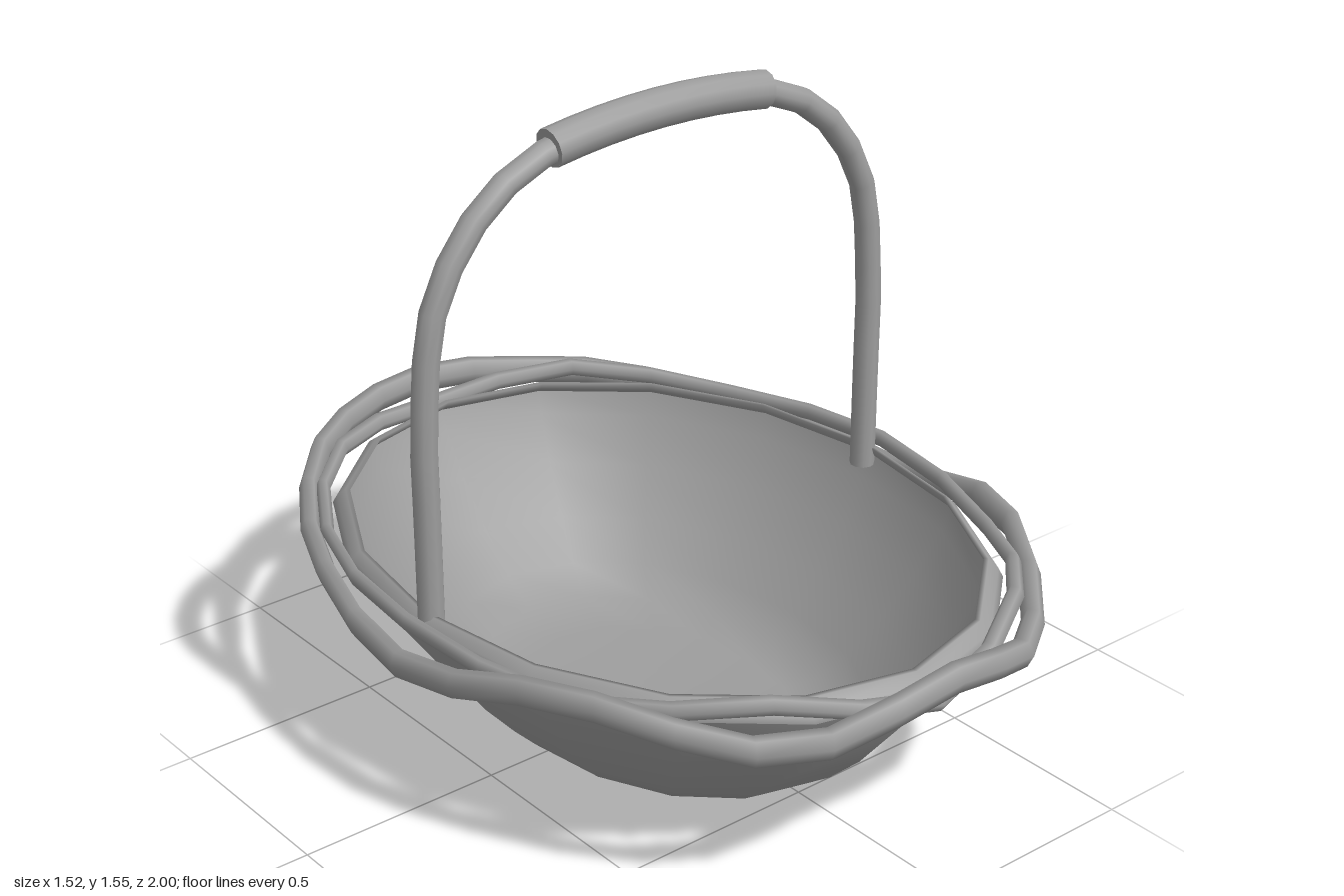
import * as THREE from 'three';

const material = new THREE.MeshStandardMaterial({ color: 0x9d9d9d, side: THREE.DoubleSide });

function add(group, geometry, name) {
  const mesh = new THREE.Mesh(geometry, material);
  mesh.name = name;
  group.add(mesh);
}

// Grid of points point(i, j) joined into a smooth skin; wrapI closes it along i
function skin(ni, nj, wrapI, point) {
  const positions = [], index = [];
  for (let i = 0; i < ni; i++) for (let j = 0; j < nj; j++) positions.push(...point(i, j));
  for (let i = 0; i < (wrapI ? ni : ni - 1); i++) {
    for (let j = 0; j < nj; j++) {
      const i2 = (i + 1) % ni, j2 = (j + 1) % nj;
      const a = i * nj + j, b = i2 * nj + j, c = i2 * nj + j2, d = i * nj + j2;
      index.push(a, b, c, a, c, d);
    }
  }
  const g = new THREE.BufferGeometry();
  g.setAttribute('position', new THREE.Float32BufferAttribute(positions, 3));
  g.setIndex(index);
  g.computeVertexNormals();
  return g;
}

// Oval bowl from cross-sections [x radius, z radius, y]
function bowl() {
  const rings = [
    [0.001, 0.001, 0], [0.29, 0.38, 0.004], [0.37, 0.515, 0.03], [0.43, 0.60, 0.09],
    [0.51, 0.695, 0.18], [0.59, 0.785, 0.29], [0.65, 0.855, 0.40], [0.672, 0.88, 0.46],
  ];
  const sides = 16;
  return skin(rings.length, sides, false, (i, j) => {
    const t = (j / sides) * Math.PI * 2;
    const [rx, rz, y] = rings[i];
    return [rx * Math.sin(t), y, rz * Math.cos(t)];
  });
}

// Flattened cane round the rim; angle 0 is the front, height(t) its wave, drop tilts it outwards
function strand(rx, rz, halfX, halfZ, halfY, segments, height, drop = 0) {
  const sides = 6;
  return skin(segments, sides, true, (i, j) => {
    const t = (i / segments) * Math.PI * 2, a = (j / sides) * Math.PI * 2;
    return [
      (rx + halfX * Math.cos(a)) * Math.sin(t),
      height(t) + halfY * Math.sin(a) - drop * Math.cos(a),
      (rz + halfZ * Math.cos(a)) * Math.cos(t),
    ];
  });
}

// Smooth closed wave through evenly spaced heights
function wave(heights) {
  const n = heights.length;
  return (t) => {
    const u = (t / (Math.PI * 2)) * n, k = Math.floor(u), f = u - k;
    const s = f * f * (3 - 2 * f);
    return heights[k % n] * (1 - s) + heights[(k + 1) % n] * s;
  };
}

export function createModel() {
  const group = new THREE.Group();
  group.name = 'basket';
  add(group, bowl(), 'bowl');

  // Woven rim: a bold outer cane, a finer one in counter-wave and a folded lip
  const outer = wave([0.525, 0.43, 0.505, 0.40, 0.435, 0.475, 0.51, 0.50, 0.45, 0.39, 0.49, 0.425]);
  const middle = wave([0.445, 0.52, 0.46, 0.485, 0.47, 0.50, 0.455, 0.49, 0.485, 0.485, 0.46, 0.515]);
  add(group, strand(0.738, 0.97, 0.022, 0.03, 0.036, 32, outer), 'outerRimStrand');
  add(group, strand(0.712, 0.922, 0.013, 0.024, 0.022, 24, middle), 'middleRimStrand');
  add(group, strand(0.673, 0.873, 0.018, 0.028, 0.012, 16, () => 0.468, 0.02), 'rimLip');

  // Arched handle, left half mirrored from the right
  const half = [[0.647, 0.44], [0.647, 0.7], [0.645, 0.95], [0.605, 1.21], [0.47, 1.395], [0.29, 1.482]];
  const arch = [
    ...half.map(([x, y]) => new THREE.Vector3(x, y, 0)),
    new THREE.Vector3(0, 1.508, 0),
    ...half.slice().reverse().map(([x, y]) => new THREE.Vector3(-x, y, 0)),
  ];
  add(group, new THREE.TubeGeometry(new THREE.CatmullRomCurve3(arch), 28, 0.031, 10), 'handle');

  // Thicker grip with closed ends
  const gripPath = new THREE.QuadraticBezierCurve3(
    new THREE.Vector3(-0.3, 1.484, 0), new THREE.Vector3(0, 1.532, 0), new THREE.Vector3(0.3, 1.484, 0));
  add(group, new THREE.TubeGeometry(gripPath, 8, 0.045, 12), 'grip');
  for (const s of [-1, 1]) {
    const cap = new THREE.CircleGeometry(0.045, 12);
    cap.rotateY(s * Math.PI / 2);
    cap.rotateZ(-s * 0.15);
    cap.translate(s * 0.3, 1.484, 0);
    add(group, cap, s > 0 ? 'gripEndLeft' : 'gripEndRight');
  }
  return group;
}
